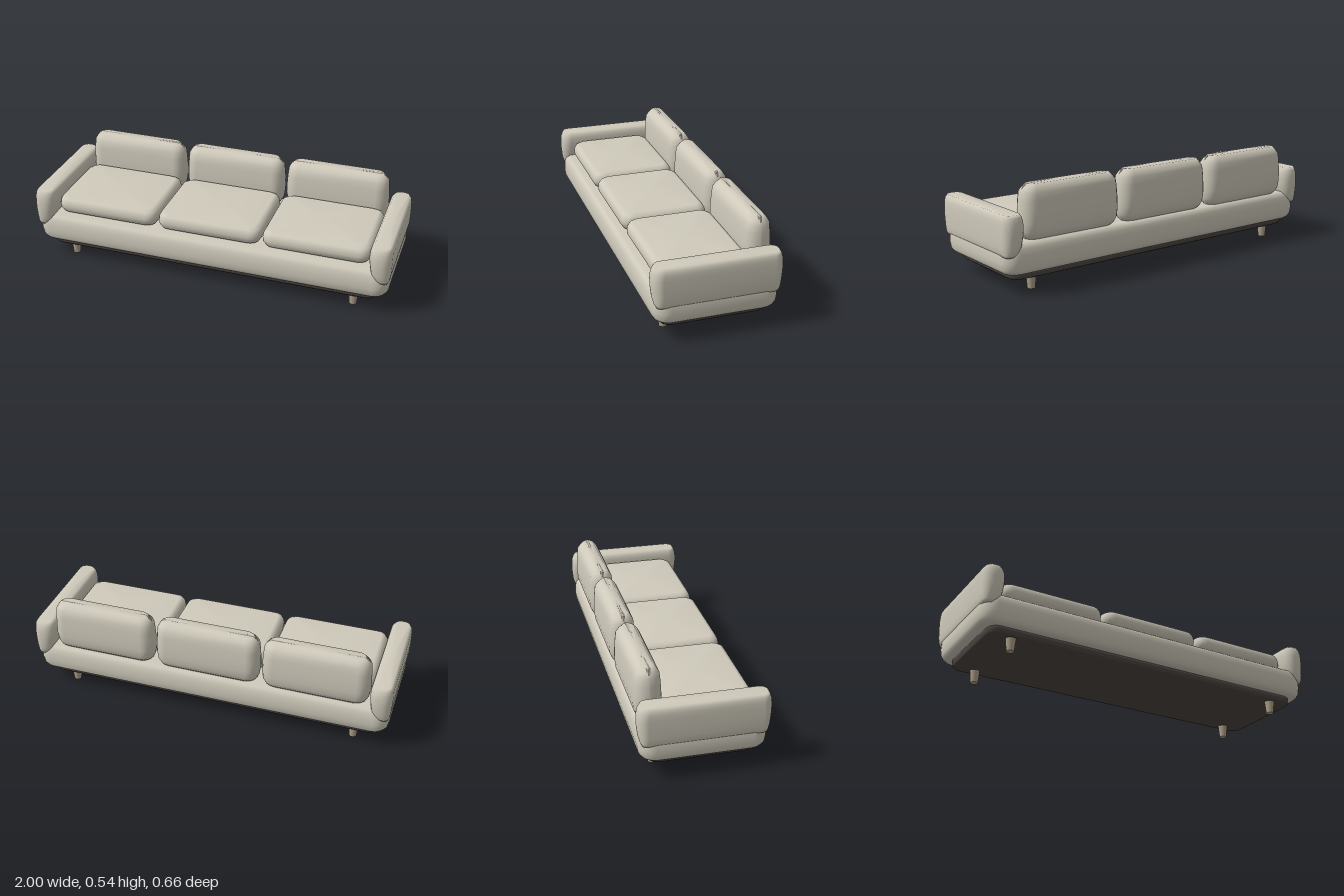
import * as THREE from 'three';

// Stacks rounded-rectangle rings [y, x0, x1, z0, z1, cornerRadius] into a closed, smooth solid.
function loft(rings, steps = 5) {
  const pos = [], index = [], n = 4 * (steps + 1);
  for (const [y, x0, x1, z0, z1, r] of rings) {
    for (let q = 0; q < 4; q++) {
      const cx = q === 0 || q === 3 ? x1 - r : x0 + r;
      const cz = q < 2 ? z1 - r : z0 + r;
      for (let s = 0; s <= steps; s++) {
        const t = (q + s / steps) * Math.PI / 2;
        pos.push(cx + r * Math.cos(t), y, cz + r * Math.sin(t));
      }
    }
  }
  for (let j = 0; j < rings.length - 1; j++) {
    for (let i = 0; i < n; i++) {
      const a = j * n + i, b = j * n + (i + 1) % n;
      index.push(a, a + n, b, b, a + n, b + n);
    }
  }
  // Flat caps at both ends
  const last = (rings.length - 1) * n;
  for (const [base, up] of [[0, false], [last, true]]) {
    const [y, x0, x1, z0, z1] = rings[base / n];
    const c = pos.length / 3;
    pos.push((x0 + x1) / 2, y, (z0 + z1) / 2);
    for (let i = 0; i < n; i++) {
      const a = base + i, b = base + (i + 1) % n;
      if (up) index.push(c, b, a); else index.push(c, a, b);
    }
  }
  const g = new THREE.BufferGeometry();
  g.setAttribute('position', new THREE.Float32BufferAttribute(pos, 3));
  g.setIndex(index);
  g.computeVertexNormals();
  return g;
}

// Symmetric pad: half sizes and a profile of [y, inset]
const pad = (hx, hz, r, profile) => loft(profile.map(([y, d]) =>
  [y, -hx + d, hx - d, -hz + d, hz - d, Math.max(r - d * 0.6, 0.01)]));

export function createModel() {
  const group = new THREE.Group();
  const material = (name, color) => {
    const m = new THREE.MeshStandardMaterial({ color });
    m.name = name;
    return m;
  };
  const fabric = material('cream fabric', 0xcfcabb);
  const dark = material('dark plinth', 0x4c4540);
  const wood = material('leg wood', 0xb0a08a);
  const add = (name, geometry, mat, x = 0, y = 0, z = 0) => {
    const mesh = new THREE.Mesh(geometry, mat);
    mesh.name = name;
    mesh.position.set(x, y, z);
    group.add(mesh);
    return mesh;
  };

  // Upholstered base and the recessed plinth below it
  add('base', pad(0.993, 0.322, 0.08, [
    [0.104, 0.026], [0.115, 0.014], [0.13, 0.005], [0.165, 0],
    [0.205, 0.002], [0.235, 0.008], [0.253, 0.018], [0.265, 0.036]]), fabric);
  add('plinth', pad(0.935, 0.274, 0.06, [
    [0.068, 0.007], [0.075, 0.002], [0.09, 0], [0.11, 0]]), dark);

  // Tapered legs
  const leg = new THREE.CylinderGeometry(0.027, 0.02, 0.072, 20);
  for (const x of [-0.805, 0.805])
    for (const z of [-0.227, 0.227]) add('leg', leg, wood, x, 0.036, z);

  // Arms: full outside, swept in under the inner side; [y, inner x, outer x, half depth, radius]
  const armProfile = [
    [0.2, 0.935, 0.988, 0.31, 0.022], [0.215, 0.915, 0.994, 0.318, 0.034],
    [0.245, 0.896, 0.998, 0.326, 0.045], [0.3, 0.886, 1, 0.332, 0.05],
    [0.345, 0.882, 1, 0.332, 0.05], [0.375, 0.884, 0.999, 0.329, 0.05],
    [0.395, 0.889, 0.995, 0.322, 0.045], [0.41, 0.901, 0.985, 0.314, 0.036]];
  for (const side of [-1, 1]) {
    add(side > 0 ? 'leftArm' : 'rightArm', loft(armProfile.map(([y, a, b, hz, r]) =>
      [y, Math.min(side * a, side * b), Math.max(side * a, side * b), -hz, hz, r])), fabric);
  }

  // Three seat cushions with matching back cushions
  const seat = pad(0.291, 0.235, 0.06, [
    [0.262, 0.034], [0.275, 0.014], [0.295, 0.002], [0.315, 0],
    [0.335, 0.003], [0.352, 0.012], [0.366, 0.034]]);
  const back = pad(0.289, 0.07, 0.066, [
    [0.262, 0.034], [0.28, 0.016], [0.305, 0.005], [0.35, 0], [0.41, 0.001],
    [0.46, 0.004], [0.5, 0.008], [0.522, 0.021], [0.541, 0.038]]);
  for (const x of [-0.59, 0, 0.59]) {
    add('seatCushion', seat, fabric, x, 0, 0.041);
    add('backCushion', back, fabric, x, 0, -0.25);
  }
  return group;
}
